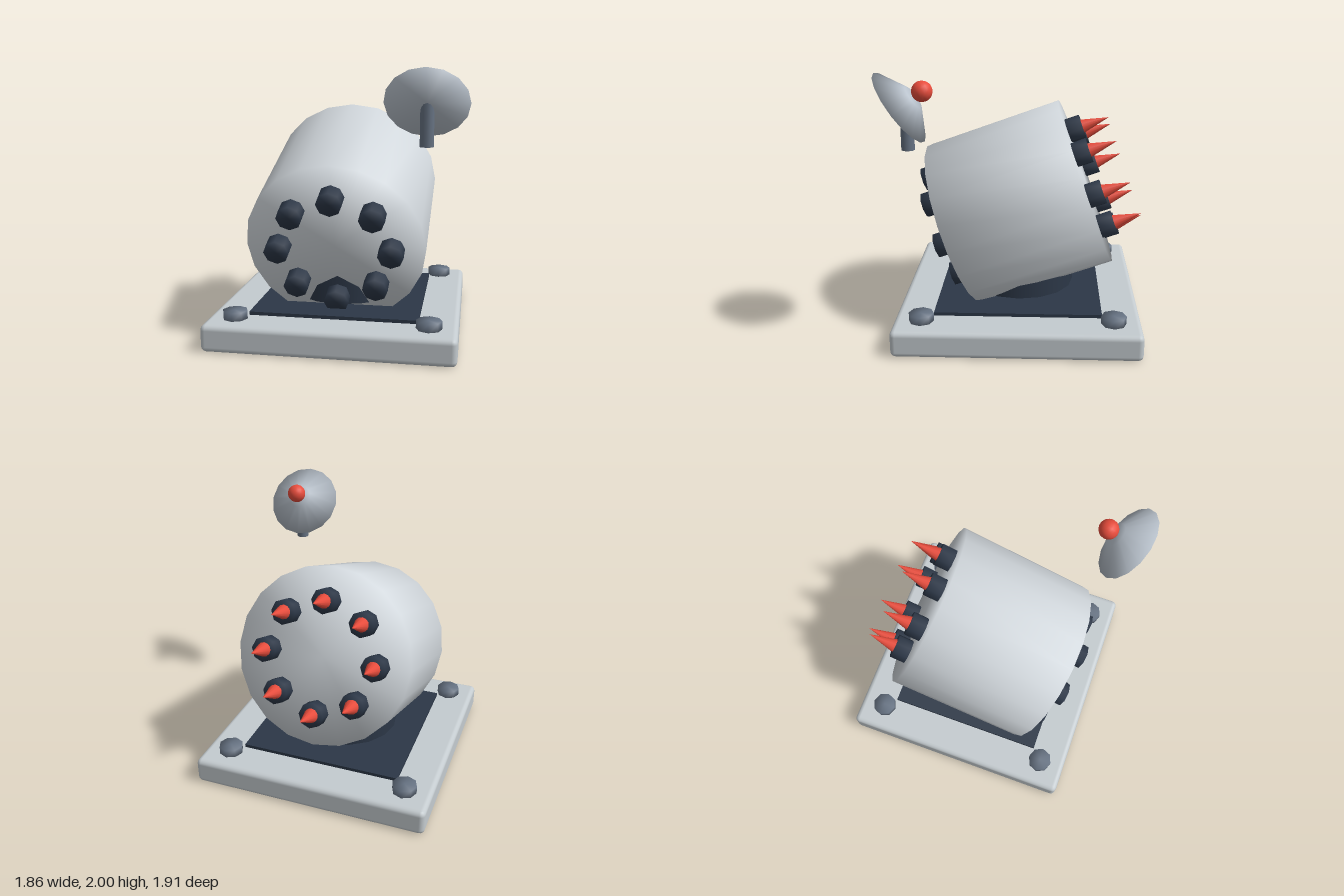
import * as THREE from 'three';
import { mergeVertices } from 'three/addons/utils/BufferGeometryUtils.js';
import { RoundedBoxGeometry } from 'three/addons/geometries/RoundedBoxGeometry.js';

const paint = (color) => new THREE.MeshStandardMaterial({ color });
const shell = paint(0xd3d9de);
const stone = paint(0xc4cbcf);
const navy = paint(0x2c3747);
const steel = paint(0x667282);
const silver = paint(0xb9c2cc);
const red = paint(0xe74c3c);

// Joins all corners so that shading runs softly over the rims
function soften(geometry) {
  geometry.deleteAttribute('normal');
  geometry.deleteAttribute('uv');
  const merged = mergeVertices(geometry, 1e-4);
  merged.computeVertexNormals();
  return merged;
}

function add(parent, name, geometry, material, x = 0, y = 0, z = 0) {
  const mesh = new THREE.Mesh(geometry, material);
  mesh.name = name;
  mesh.position.set(x, y, z);
  parent.add(mesh);
  return mesh;
}

const drumRadius = 0.66;
const drumLength = 1.07;
const ringRadius = 0.415;

// Ring of eight studs on one end of the drum; +y points out of that end
function studRing(name, spiked) {
  const ring = new THREE.Group();
  ring.name = name;
  const stud = soften(new THREE.CylinderGeometry(0.094, 0.094, 0.18, 8));
  const spike = new THREE.ConeGeometry(0.056, 0.22, 12);
  for (let i = 0; i < 8; i++) {
    const a = (i * Math.PI) / 4;
    const x = Math.sin(a) * ringRadius;
    const z = Math.cos(a) * ringRadius;
    add(ring, 'stud', stud, navy, x, 0.025, z);
    if (spiked) add(ring, 'spike', spike, red, x, 0.215, z);
  }
  return ring;
}

export function createModel() {
  const model = new THREE.Group();
  model.name = 'drumOnBase';
  model.position.x = -0.025;

  // Base slab, dark plate and corner bolts
  add(model, 'base', new RoundedBoxGeometry(1.81, 0.2, 1.81, 2, 0.04), stone, 0, 0.1, 0);
  add(model, 'plate', new THREE.BoxGeometry(1.24, 0.03, 1.24), navy, 0, 0.21, 0);
  const bolt = soften(new THREE.CylinderGeometry(0.092, 0.092, 0.07, 8));
  for (const x of [-0.7, 0.7]) {
    for (const z of [-0.7, 0.7]) add(model, 'bolt', bolt, steel, x, 0.225, z);
  }

  // Swivel under the drum
  add(model, 'swivel', new THREE.CylinderGeometry(0.415, 0.415, 0.23, 16), navy, 0, 0.365, 0);

  // Tilted drum, its axis running to the raised back end
  const drum = new THREE.Group();
  drum.name = 'drum';
  drum.position.set(0, 0.893, 0);
  drum.rotation.x = -THREE.MathUtils.degToRad(70.2);
  model.add(drum);
  add(drum, 'drumBody', soften(new THREE.CylinderGeometry(drumRadius, drumRadius, drumLength, 20)), shell);
  const back = studRing('backStuds', true);
  back.position.y = drumLength / 2;
  const front = studRing('frontStuds', false);
  front.position.y = -drumLength / 2;
  front.rotation.x = Math.PI;
  drum.add(back, front);

  // Small dish on its post, facing back and up
  const dish = new THREE.Group();
  dish.name = 'dish';
  dish.position.set(0.665, 1.767, 0.795);
  dish.rotation.x = -0.953;
  model.add(dish);
  add(dish, 'dishBody', soften(new THREE.CylinderGeometry(0.09, 0.285, 0.12, 16)), silver, 0, 0.06, 0);
  add(dish, 'dishBall', new THREE.SphereGeometry(0.072, 16, 12), red, 0, 0.192, 0);
  add(model, 'dishPost', new THREE.CylinderGeometry(0.047, 0.047, 0.33, 12), steel, 0.665, 1.64, 0.748);

  return model;
}
